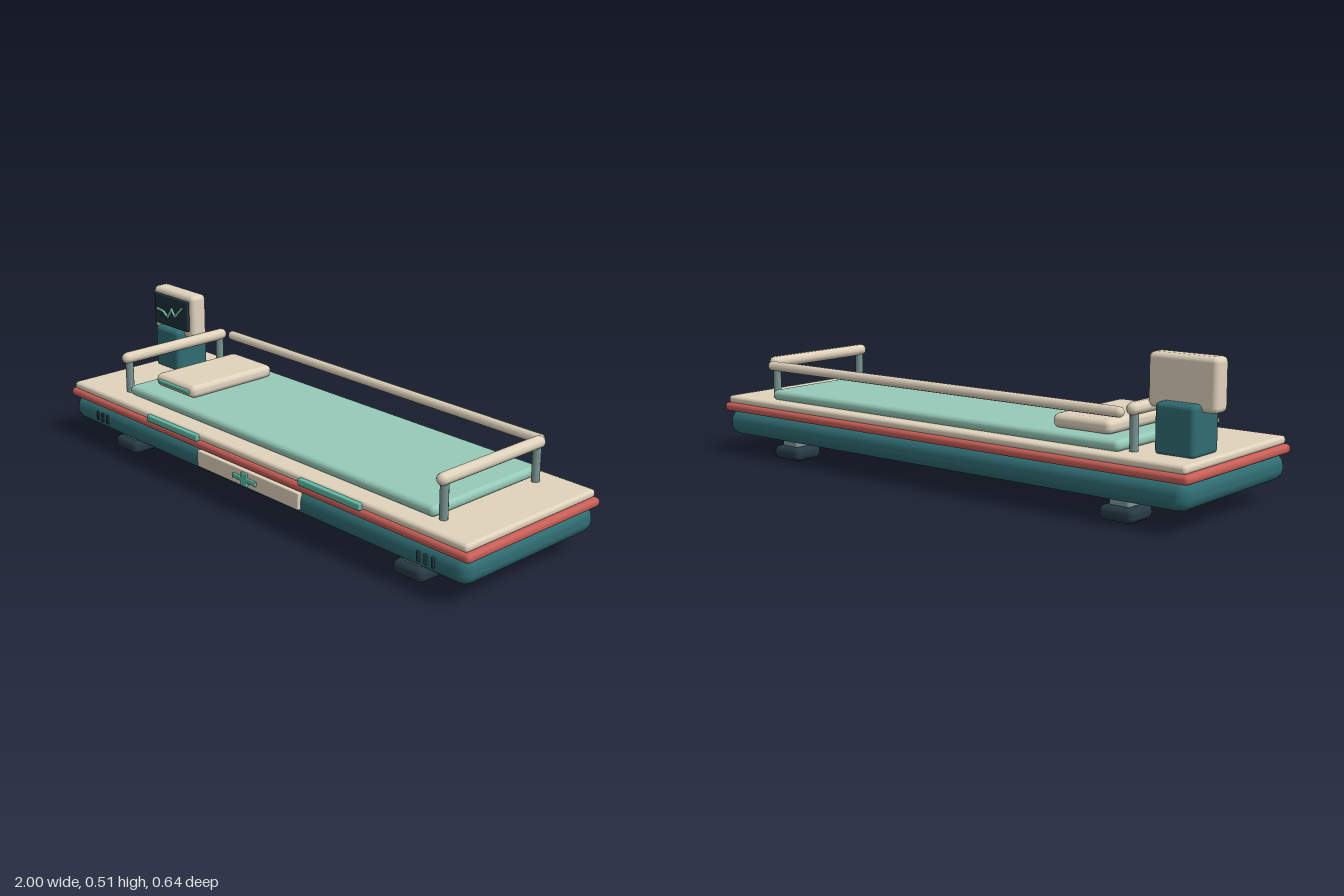
import * as THREE from 'three';
import { RoundedBoxGeometry } from 'three/addons/geometries/RoundedBoxGeometry.js';

const paint = (color) => new THREE.MeshStandardMaterial({ color });
const CREAM = paint(0xe0d3bd), RED = paint(0xc85e57), TEAL = paint(0x2f6c72), DARK = paint(0x263a44);
const STEEL = paint(0x7b9694), MINT = paint(0x96cab8), ACCENT = paint(0x5fb9a5), GOLD = paint(0xc99a45);
const SCREEN = paint(0x1c3038), TRACE = paint(0x7fc8a8);

export function createModel() {
  const model = new THREE.Group();
  model.name = 'medicalBed';

  const add = (name, geometry, material, x, y, z, parent = model) => {
    const mesh = new THREE.Mesh(geometry, material);
    mesh.name = name;
    mesh.position.set(x, y, z);
    parent.add(mesh);
    return mesh;
  };
  // rounded block given by its extents along each axis
  const block = (name, material, [x0, x1], [y0, y1], [z0, z1], radius, parent) =>
    add(name, new RoundedBoxGeometry(x1 - x0, y1 - y0, z1 - z0, 2, radius), material,
      (x0 + x1) / 2, (y0 + y1) / 2, (z0 + z1) / 2, parent);

  // stacked platform
  block('base', TEAL, [-0.99, 0.99], [0.071, 0.162], [-0.312, 0.3], 0.04);
  block('trimBand', RED, [-1, 1], [0.158, 0.189], [-0.317, 0.306], 0.014);
  block('deck', CREAM, [-0.985, 0.985], [0.187, 0.215], [-0.308, 0.298], 0.012);
  block('mattress', MINT, [-0.725, 0.793], [0.213, 0.25], [-0.267, 0.231], 0.017);
  block('pillow', CREAM, [-0.66, -0.438], [0.25, 0.297], [-0.217, 0.16], 0.02);
  block('pillowTrim', ACCENT, [-0.635, -0.46], [0.267, 0.281], [0.156, 0.168], 0.004);

  // four feet on short stems
  for (const x of [-0.72, 0.72]) {
    for (const z of [0.205, -0.214]) {
      block('foot', DARK, [x - 0.064, x + 0.064], [0, 0.048], [z - 0.061, z + 0.061], 0.02);
      block('footStem', STEEL, [x - 0.038, x + 0.038], [0.04, 0.09], [z - 0.039, z + 0.039], 0.01);
    }
  }

  // end rails with posts
  for (const x of [-0.749, 0.814]) {
    const rail = add('endRail', new THREE.CapsuleGeometry(0.021, 0.444, 3, 10), CREAM, x, 0.346, -0.005);
    rail.rotation.x = Math.PI / 2;
    for (const z of [0.209, -0.219])
      add('railPost', new THREE.CylinderGeometry(0.0145, 0.0145, 0.12, 10), STEEL, x, 0.274, z);
  }
  // long rail along the back
  const backRail = add('backRail', new THREE.CapsuleGeometry(0.0175, 1.51, 3, 10), CREAM, 0.032, 0.338, -0.264);
  backRail.rotation.z = Math.PI / 2;

  // monitor on its pedestal
  const monitor = new THREE.Group();
  monitor.name = 'monitor';
  model.add(monitor);
  block('pedestal', TEAL, [-0.95, -0.81], [0.21, 0.372], [-0.208, -0.062], 0.016, monitor);
  block('monitorCase', CREAM, [-1, -0.757], [0.345, 0.514], [-0.166, -0.097], 0.018, monitor);
  block('screen', SCREEN, [-0.979, -0.777], [0.374, 0.492], [-0.1, -0.085], 0.005, monitor);

  // pulse line on the screen
  const pulse = [[-0.955, 0.435], [-0.915, 0.43], [-0.89, 0.412], [-0.865, 0.449], [-0.845, 0.423], [-0.803, 0.463]]
    .map(([x, y]) => new THREE.Vector3(x, y, -0.079));
  for (let i = 1; i < pulse.length; i++) {
    const path = new THREE.LineCurve3(pulse[i - 1], pulse[i]);
    add('pulseLine', new THREE.TubeGeometry(path, 1, 0.005, 6), TRACE, 0, 0, 0, monitor);
    add('pulseJoint', new THREE.SphereGeometry(0.005, 6, 4), TRACE, ...pulse[i].toArray(), monitor);
  }
  add('knob', new THREE.CylinderGeometry(0.021, 0.021, 0.012, 12), GOLD, -0.88, 0.293, 0.014, monitor);

  // front panel with a cross
  block('frontPanel', CREAM, [-0.232, 0.282], [0.098, 0.158], [0.29, 0.311], 0.004);
  block('crossBar', ACCENT, [-0.038, 0.08], [0.119, 0.135], [0.306, 0.319], 0.003);
  block('crossUpright', ACCENT, [0.006, 0.036], [0.103, 0.151], [0.306, 0.319], 0.003);

  // light strips along the deck edge
  for (const x of [-0.375, 0.42])
    block('lightStrip', ACCENT, [x - 0.14, x + 0.14], [0.187, 0.21], [0.292, 0.312], 0.004);

  // vent slots near both ends
  for (const x of [-0.805, 0.83])
    for (const step of [-0.03, 0, 0.03])
      block('ventSlot', DARK, [x + step - 0.006, x + step + 0.006], [0.101, 0.135], [0.285, 0.305], 0.003);

  return model;
}
